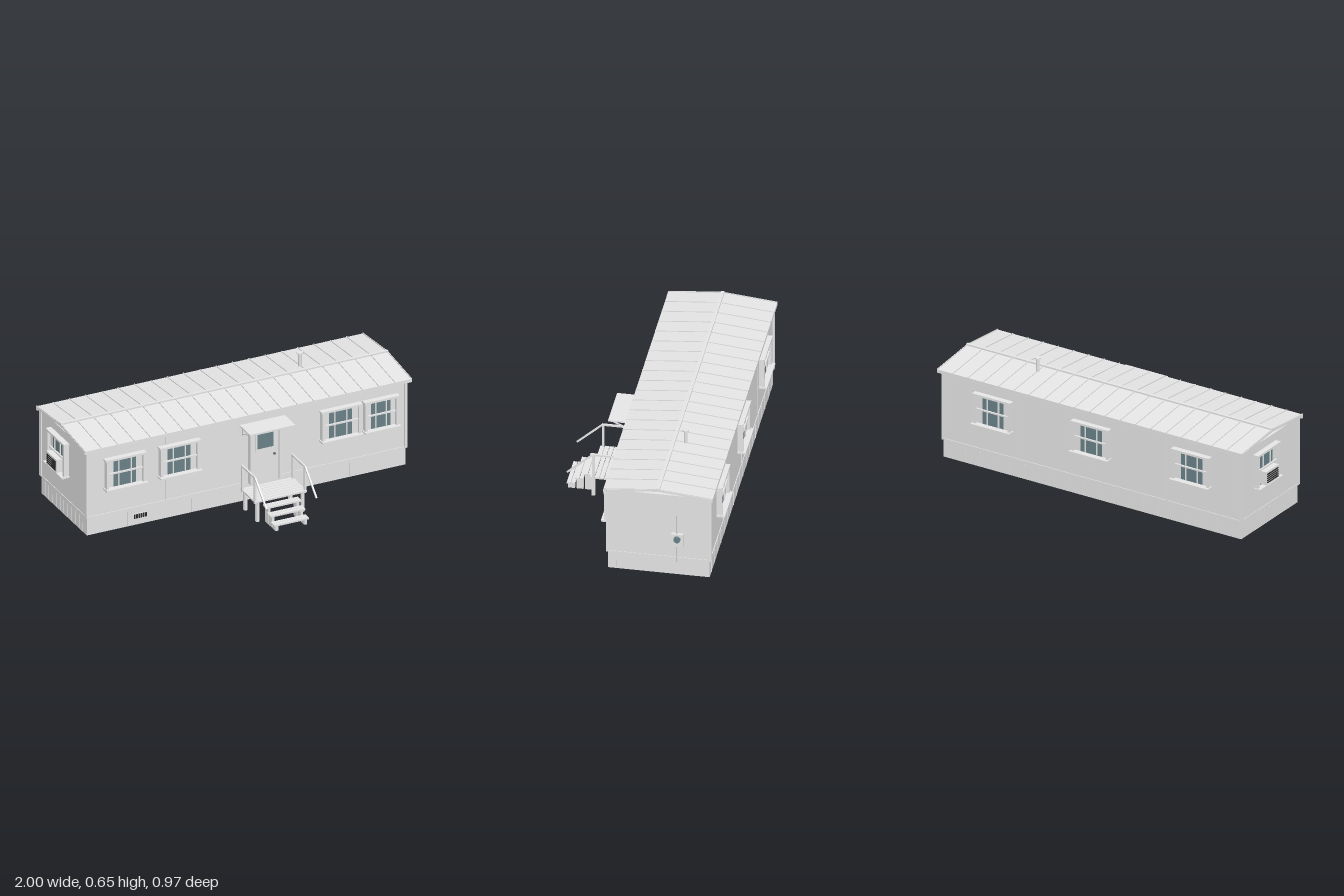
import * as THREE from 'three';

const mat = (name, color) => Object.assign(new THREE.MeshStandardMaterial({ color }), { name });

export function createModel() {
  const M = {
    siding: mat('siding grey', 0xe5e5e5),
    trim: mat('trim grey', 0xe6e6e6),
    roof: mat('roof metal', 0xe5e5e5),
    glass: mat('window glass', 0x6a8188),
    floor: mat('underside grey', 0xd2d2d2),
    steel: mat('chassis steel', 0x555b59),
    black: mat('vent black', 0x2a2a2a),
  };
  const model = new THREE.Group();
  model.name = 'mobileHome';

  const add = (parent, name, geo, m, x = 0, y = 0, z = 0) => {
    const mesh = new THREE.Mesh(geo, m);
    mesh.name = name;
    mesh.position.set(x, y, z);
    parent.add(mesh);
    return mesh;
  };
  // box given by its limits on each axis
  const box = (parent, name, m, x0, x1, y0, y1, z0, z1) =>
    add(parent, name, new THREE.BoxGeometry(x1 - x0, y1 - y0, z1 - z0), m,
      (x0 + x1) / 2, (y0 + y1) / 2, (z0 + z1) / 2);
  const group = (name, x = 0, y = 0, z = 0, ry = 0) => {
    const g = new THREE.Group();
    g.name = name;
    g.position.set(x, y, z);
    g.rotation.y = ry;
    model.add(g);
    return g;
  };
  // square bar between two points in a plane of constant x
  const bar = (parent, name, m, x, y0, z0, y1, z1, t) => {
    const b = add(parent, name, new THREE.BoxGeometry(t, t, Math.hypot(y1 - y0, z1 - z0)), m,
      x, (y0 + y1) / 2, (z0 + z1) / 2);
    b.rotation.x = -Math.atan2(y1 - y0, z1 - z0);
  };

  const L = -0.945, R = 0.965, F = 0.122, B = -0.435;

  // walls
  const walls = group('walls');
  box(walls, 'wallBody', M.siding, L, R, 0.13, 0.528, B, F);
  for (const x of [-0.47, 0.01, 0.49])
    box(walls, 'panelBatten', M.trim, x - 0.002, x + 0.002, 0.13, 0.528, B - 0.003, F + 0.003);
  for (const x of [L, R]) for (const z of [F, B])
    box(walls, 'cornerTrim', M.trim, x - 0.008, x + 0.008, 0.13, 0.53, z - 0.01, z + 0.01);
  box(walls, 'baseTrim', M.trim, L - 0.003, R + 0.003, 0.128, 0.136, B - 0.004, F + 0.004);

  // skirting panels, open underneath
  const skirt = group('skirt');
  for (const z of [F - 0.006, B]) box(skirt, 'longSkirt', M.siding, L, R, 0.025, 0.13, z, z + 0.006);
  for (const x of [L, R - 0.006]) box(skirt, 'endSkirt', M.siding, x, x + 0.006, 0.025, 0.13, B, F);
  for (let i = 0; i < 10; i++) {
    const x = -0.888 + i * 0.19;
    box(skirt, 'skirtRib', M.trim, x - 0.002, x + 0.002, 0.03, 0.112, F, F + 0.003);
  }
  for (let i = 0; i < 20; i++) {
    const x = -0.888 + i * 0.095;
    box(skirt, 'skirtRib', M.trim, x - 0.002, x + 0.002, 0.03, 0.112, B - 0.003, B);
  }
  for (let i = 0; i < 11; i++) {
    const z = 0.075 - i * 0.0463, top = i % 8 === 1 ? 0.112 : i % 8 === 0 ? 0.08 : 0.112;
    for (const x of [L, R])
      box(skirt, 'skirtRib', M.trim, x - 0.003, x + 0.003, 0.03, top, z - 0.0015, z + 0.0015);
  }
  box(skirt, 'ventPlate', M.trim, -0.672, -0.588, 0.062, 0.092, F, F + 0.004);
  for (let i = 0; i < 6; i++) {
    const x = -0.665 + i * 0.0135;
    box(skirt, 'ventSlot', M.black, x, x + 0.009, 0.065, 0.089, F, F + 0.007);
  }

  // underside: floor, I-beams and piers
  const under = group('underside');
  box(under, 'floor', M.floor, L + 0.006, R - 0.006, 0.118, 0.129, B + 0.006, F - 0.006);
  for (const z of [0.032, -0.345]) {
    box(under, 'beamWeb', M.steel, L + 0.02, R - 0.02, 0.07, 0.118, z - 0.004, z + 0.004);
    for (const y of [0.064, 0.111])
      box(under, 'beamFlange', M.steel, L + 0.02, R - 0.02, y, y + 0.007, z - 0.017, z + 0.017);
    for (const x of [-0.745, 0.01, 0.77])
      box(under, 'pier', M.trim, x - 0.032, x + 0.032, 0, 0.064, z - 0.032, z + 0.032);
  }

  // shallow gabled roof, open at the ends
  const roof = group('roof');
  const RL = -0.968, RR = 0.995, RIDGE = -0.157, EF = 0.142, EB = -0.456, EY = 0.545, RY = 0.574;
  const profile = (lift, thick) => new THREE.Shape([
    [-EF, EY + lift], [-EF, EY + lift - thick], [-RIDGE, RY + lift - thick],
    [-EB, EY + lift - thick], [-EB, EY + lift], [-RIDGE, RY + lift],
  ].map(([x, y]) => new THREE.Vector2(x, y)));
  const chevron = (name, x0, x1, lift, thick) => {
    const g = new THREE.ExtrudeGeometry(profile(lift, thick), { depth: x1 - x0, bevelEnabled: false });
    g.rotateY(Math.PI / 2);
    add(roof, name, g, M.roof, x0);
  };
  chevron('roofPanel', RL, RR, 0, 0.011);
  for (let i = 0; i <= 20; i++) {
    const x = RL + 0.002 + i * ((RR - RL - 0.008) / 20);
    chevron('standingSeam', x, x + 0.004, 0.005, 0.006);
  }
  box(roof, 'ridgeCap', M.roof, RL, RR, 0.571, 0.582, RIDGE - 0.009, RIDGE + 0.009);
  for (const z of [EF - 0.008, EB + 0.008])
    box(roof, 'eaveFascia', M.trim, RL, RR, 0.526, 0.545, z - 0.008, z + 0.008);
  add(roof, 'ventPipe', new THREE.CylinderGeometry(0.01, 0.01, 0.085, 16), M.roof, 0.5, 0.605, -0.22);
  add(roof, 'ventCap', new THREE.CylinderGeometry(0.018, 0.018, 0.007, 16), M.roof, 0.5, 0.647, -0.22);

  // windows: built facing +z, origin on the wall at the centre
  const windowUnit = (name, x, y, z, ry, w, h) => {
    const g = group(name, x, y, z, ry), a = w / 2, b = h / 2;
    for (const s of [-1, 1]) {
      box(g, 'sideCasing', M.trim, s * a - 0.007, s * a + 0.007, -b, b, 0, 0.03);
      box(g, 'curtain', M.trim, s * a * 0.8 - a * 0.18, s * a * 0.8 + a * 0.18, -b, b, 0, 0.012);
      box(g, 'muntin', M.trim, s * a / 3 - 0.003, s * a / 3 + 0.003, -b, b, 0.012, 0.018);
    }
    box(g, 'glass', M.glass, -a * 0.63, a * 0.63, -b, b, 0.004, 0.012);
    box(g, 'meetingRail', M.trim, -a, a, -0.004, 0.004, 0.01, 0.022);
    box(g, 'headCasing', M.trim, -a - 0.012, a + 0.012, b - 0.004, b + 0.008, 0, 0.033);
    box(g, 'sill', M.trim, -a - 0.014, a + 0.014, -b - 0.008, -b + 0.002, 0, 0.047);
  };
  for (const [x, w] of [[-0.723, 0.22], [-0.398, 0.22], [0.57, 0.22], [0.81, 0.186]])
    windowUnit('frontWindow', x, 0.375, F, 0, w, 0.17);
  for (const x of [-0.635, 0.01, 0.64]) windowUnit('backWindow', x, 0.375, B, Math.PI, 0.22, 0.17);
  windowUnit('endWindow', L, 0.378, -0.205, -Math.PI / 2, 0.2, 0.19);

  // air conditioner in the end window
  const ac = group('airConditioner');
  box(ac, 'acBody', M.trim, -0.997, L, 0.293, 0.37, -0.267, -0.142);
  for (let i = 0; i < 5; i++)
    box(ac, 'acLouvre', M.black, -1, -0.996, 0.303 + i * 0.012, 0.31 + i * 0.012, -0.258, -0.152);

  // electric meter
  const meter = group('electricMeter');
  box(meter, 'meterBox', M.trim, R, R + 0.018, 0.21, 0.29, -0.292, -0.227);
  add(meter, 'meterDial', new THREE.CylinderGeometry(0.018, 0.018, 0.014, 24).rotateZ(Math.PI / 2), M.glass, 0.99, 0.262, -0.26);
  add(meter, 'conduit', new THREE.CylinderGeometry(0.0035, 0.0035, 0.3, 10), M.trim, R + 0.01, 0.26, -0.26);

  // door with window, knob and canopy
  const door = group('door');
  box(door, 'doorPanel', M.trim, 0.035, 0.195, 0.13, 0.46, F, F + 0.018);
  for (const x of [0.02, 0.195]) box(door, 'doorJamb', M.trim, x, x + 0.015, 0.127, 0.47, F, F + 0.032);
  box(door, 'doorHead', M.trim, 0.02, 0.21, 0.458, 0.472, F, F + 0.033);
  box(door, 'doorWindowFrame', M.trim, 0.056, 0.17, 0.32, 0.426, F + 0.016, F + 0.024);
  box(door, 'doorGlass', M.glass, 0.065, 0.161, 0.33, 0.416, F + 0.02, F + 0.026);
  add(door, 'knob', new THREE.SphereGeometry(0.007, 12, 8), M.steel, 0.168, 0.283, F + 0.024);
  box(door, 'canopy', M.trim, -0.03, 0.242, 0.479, 0.487, F, 0.252);
  for (const x of [-0.01, 0.226]) {
    bar(door, 'canopyBrace', M.trim, x, 0.43, F + 0.008, 0.479, 0.245, 0.006);
    box(door, 'bracePlate', M.trim, x - 0.004, x + 0.004, 0.42, 0.48, F, F + 0.008);
  }
  box(walls, 'outlet', M.trim, -0.31, -0.304, 0.247, 0.255, F, F + 0.004);
  box(walls, 'faucet', M.trim, 0.326, 0.331, 0.151, 0.158, F, F + 0.008);

  // porch deck, legs and railings
  const porch = group('porch');
  for (let i = 0; i < 7; i++) {
    const z = 0.168 + i * 0.0258;
    box(porch, 'deckBoard', M.trim, -0.045, 0.267, 0.118, 0.128, z, z + 0.0225);
  }
  for (const s of [-1, 1]) {
    const legX = 0.111 + s * 0.135, railX = 0.111 + s * 0.15;
    box(porch, 'deckJoist', M.trim, legX - 0.006, legX + 0.006, 0.107, 0.118, 0.172, 0.342);
    for (const z of [0.18, 0.33]) {
      box(porch, 'leg', M.trim, legX - 0.009, legX + 0.009, 0, 0.118, z - 0.009, z + 0.009);
      box(porch, 'railPost', M.trim, railX - 0.006, railX + 0.006, 0.11, 0.268, z - 0.006, z + 0.006);
    }
    bar(porch, 'topRail', M.trim, railX, 0.267, 0.172, 0.267, 0.336, 0.01);
    bar(porch, 'stairRail', M.trim, railX, 0.267, 0.333, 0.14, 0.472, 0.009);
  }

  // stairs
  const stairs = group('stairs');
  [[0.094, 0.348], [0.064, 0.395], [0.03, 0.441]].forEach(([h, z]) => {
    for (const x of [0.012, 0.184])
      box(stairs, 'stringer', M.trim, x, x + 0.016, 0, h, z, z + 0.038);
    for (const dz of [-0.002, 0.022])
      box(stairs, 'treadBoard', M.trim, 0.002, 0.21, h, h + 0.01, z + dz, z + dz + 0.021);
  });

  return model;
}
